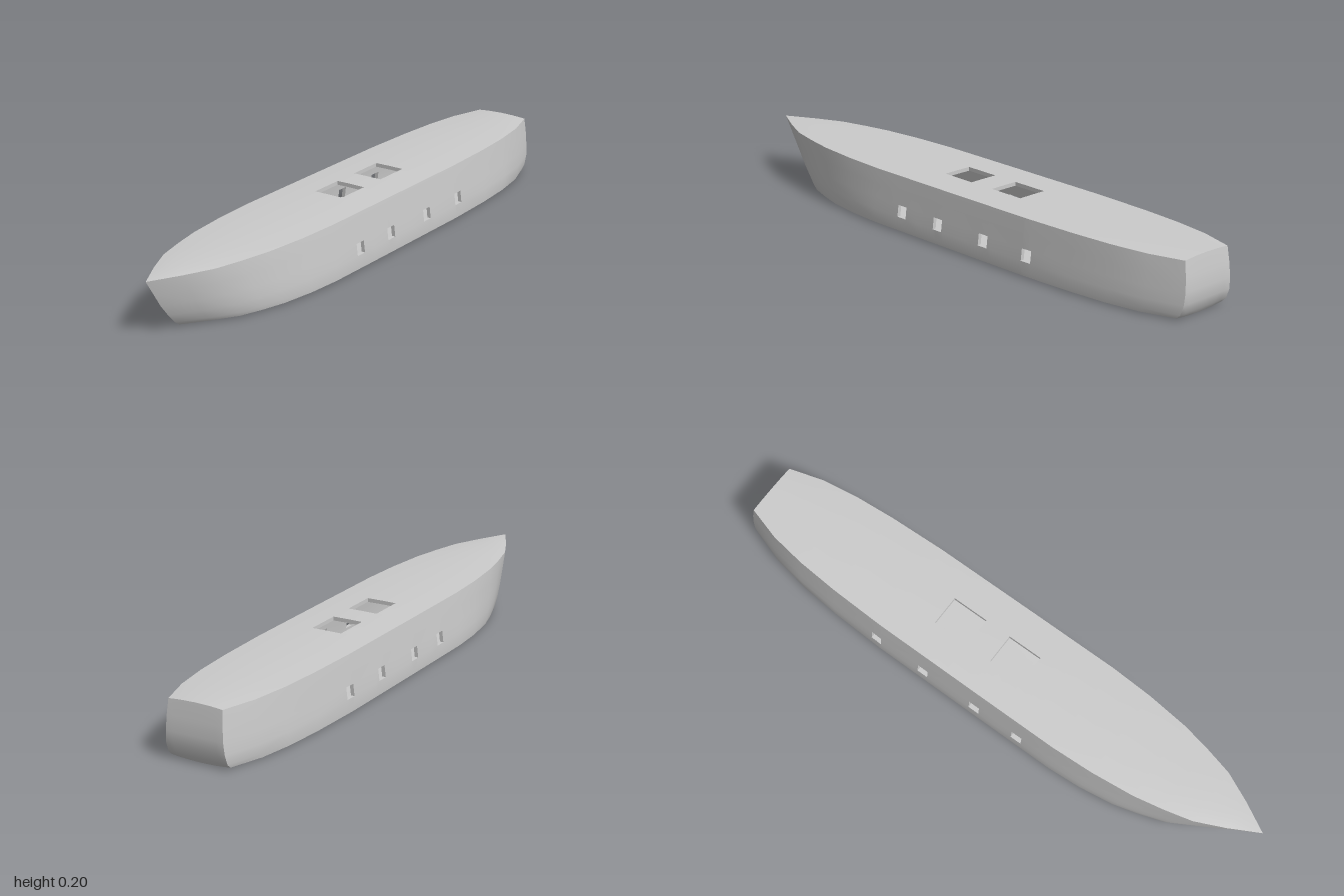
import * as THREE from 'three';
import { toCreasedNormals } from 'three/addons/utils/BufferGeometryUtils.js';

// Height rows of the hull, with flare, bow and stern position per row
const rowY = [0.006, 0.02, 0.053, 0.093, 0.14, 0.191];
const flare = [1.09, 1.095, 1.09, 1.06, 1.035, 1];
const bowZ = [0.855, 0.875, 0.905, 0.937, 0.967, 1];
const sternZ = [-0.97, -0.985, -0.997, -1, -0.997, -0.99];
const TOP = rowY.length - 1;
const WALL = 0.013;
const HATCH = 0.053;

// Deck outline: [station, half width]
const outline = [
  [-1, 0.095], [-0.88, 0.13], [-0.75, 0.149], [-0.6, 0.16], [-0.4, 0.167], [0, 0.168], [0.3, 0.168],
  [0.45, 0.161], [0.6, 0.145], [0.7, 0.125], [0.8, 0.1], [0.9, 0.054], [1, 0],
];
const portholes = [0.165, -0.008, -0.22, -0.414].map((z) => [z - 0.02, z + 0.02]);
const hatches = [[-0.26, -0.13], [-0.035, 0.09]];
const stations = [...new Set([...outline.map((p) => p[0]), ...portholes.flat(), ...hatches.flat()])].sort((a, b) => a - b);

function halfWidth(s) {
  const k = Math.max(1, outline.findIndex((p) => p[0] >= s));
  const [a, b] = [outline[k - 1], outline[k]];
  return THREE.MathUtils.mapLinear(s, a[0], b[0], a[1], b[1]);
}

// Point on the +x side of the outer or inner skin
function hullPoint(s, j, inner) {
  const inset = inner ? WALL : 0;
  let z = s;
  if (s > 0.3) z = THREE.MathUtils.mapLinear(s, 0.3, 1, 0.3, bowZ[j] - 2 * inset);
  if (s < -0.5) z = THREE.MathUtils.mapLinear(s, -0.5, -1, -0.5, sternZ[j] + inset);
  const y = inner ? THREE.MathUtils.clamp(rowY[j], 0.006 + WALL, 0.191 - WALL) : rowY[j];
  return new THREE.Vector3(Math.max(0, halfWidth(s) * flare[j] - inset), y, z);
}

// Mesh from a grid of points; skip() leaves openings
function surface(name, grid, flip, skip = () => false, side = THREE.FrontSide) {
  const cols = grid[0].length;
  const index = [];
  for (let i = 0; i < grid.length - 1; i++) {
    for (let j = 0; j < cols - 1; j++) {
      if (skip(i, j)) continue;
      const a = i * cols + j, b = a + cols, c = b + 1, d = a + 1;
      index.push(...(flip ? [a, c, b, a, d, c] : [a, b, c, a, c, d]));
    }
  }
  const geometry = new THREE.BufferGeometry().setFromPoints(grid.flat());
  geometry.setIndex(index);
  const mesh = new THREE.Mesh(toCreasedNormals(geometry, 0.5), new THREE.MeshStandardMaterial({ color: 0xcccccc, side }));
  mesh.name = name;
  return mesh;
}

const mirrored = (p, sign) => new THREE.Vector3(p.x * sign, p.y, p.z);
const within = (ranges, i) => ranges.some(([a, b]) => stations[i] >= a && stations[i + 1] <= b);
const isPorthole = (i, j) => j === 2 && within(portholes, i);
const isHatch = (i, j) => (j === 2 || j === 3) && within(hatches, i);

// Cambered cross-section row for the deck or bottom
function acrossRow(s, j, inner, camber) {
  const p = hullPoint(s, j, inner);
  const h = Math.min(HATCH, p.x / 2);
  const m = (p.x + h) / 2;
  return [-p.x, -m, -h, 0, h, m, p.x].map((x) => {
    const f = p.x > 0 ? x / p.x : 1;
    const fade = Math.min(1, p.x / 0.1);
    return new THREE.Vector3(x, p.y + camber * fade * (1 - f * f), p.z);
  });
}

// Walls joining an outer and an inner loop of corners
const reveal = (name, outer, inner) =>
  surface(name, [[...outer, outer[0]], [...inner, inner[0]]], false, undefined, THREE.DoubleSide);

export function createModel() {
  const model = new THREE.Group();
  model.name = 'shipHull';

  // Outer and inner skins
  for (const inner of [false, true]) {
    const prefix = inner ? 'inner' : 'outer';
    for (const sign of [1, -1]) {
      const grid = stations.map((s) => rowY.map((_, j) => mirrored(hullPoint(s, j, inner), sign)));
      model.add(surface(prefix + (sign > 0 ? 'LeftSide' : 'RightSide'), grid, (sign > 0) !== inner, isPorthole));
    }
    const deck = stations.map((s) => acrossRow(s, TOP, inner, 0.005));
    model.add(surface(prefix + 'Deck', deck, inner, isHatch));
    const bottom = stations.map((s) => acrossRow(s, 0, inner, -0.006));
    model.add(surface(prefix + 'Bottom', bottom, !inner));

    // Flat stern, with its top and bottom edges following the camber
    const rows = rowY.map((_, j) => acrossRow(-1, j, inner, j === 0 ? -0.006 : j === TOP ? 0.005 : 0));
    const transom = rows[0].map((_, i) => rows.map((r) => r[i]));
    model.add(surface(prefix + 'Transom', transom, !inner));
  }

  // Porthole edges through the side walls
  for (const [a, b] of portholes) {
    for (const sign of [1, -1]) {
      const loop = (inner) =>
        [[a, 2], [b, 2], [b, 3], [a, 3]].map(([s, j]) => mirrored(hullPoint(s, j, inner), sign));
      model.add(reveal('portholeEdge', loop(false), loop(true)));
    }
  }

  // Hatch edges through the deck
  for (const [a, b] of hatches) {
    const loop = (inner) => {
      const [p, q] = [a, b].map((s) => acrossRow(s, TOP, inner, 0.005));
      return [p[2], p[3], p[4], q[4], q[3], q[2]];
    };
    model.add(reveal('hatchEdge', loop(false), loop(true)));
  }
  return model;
}
